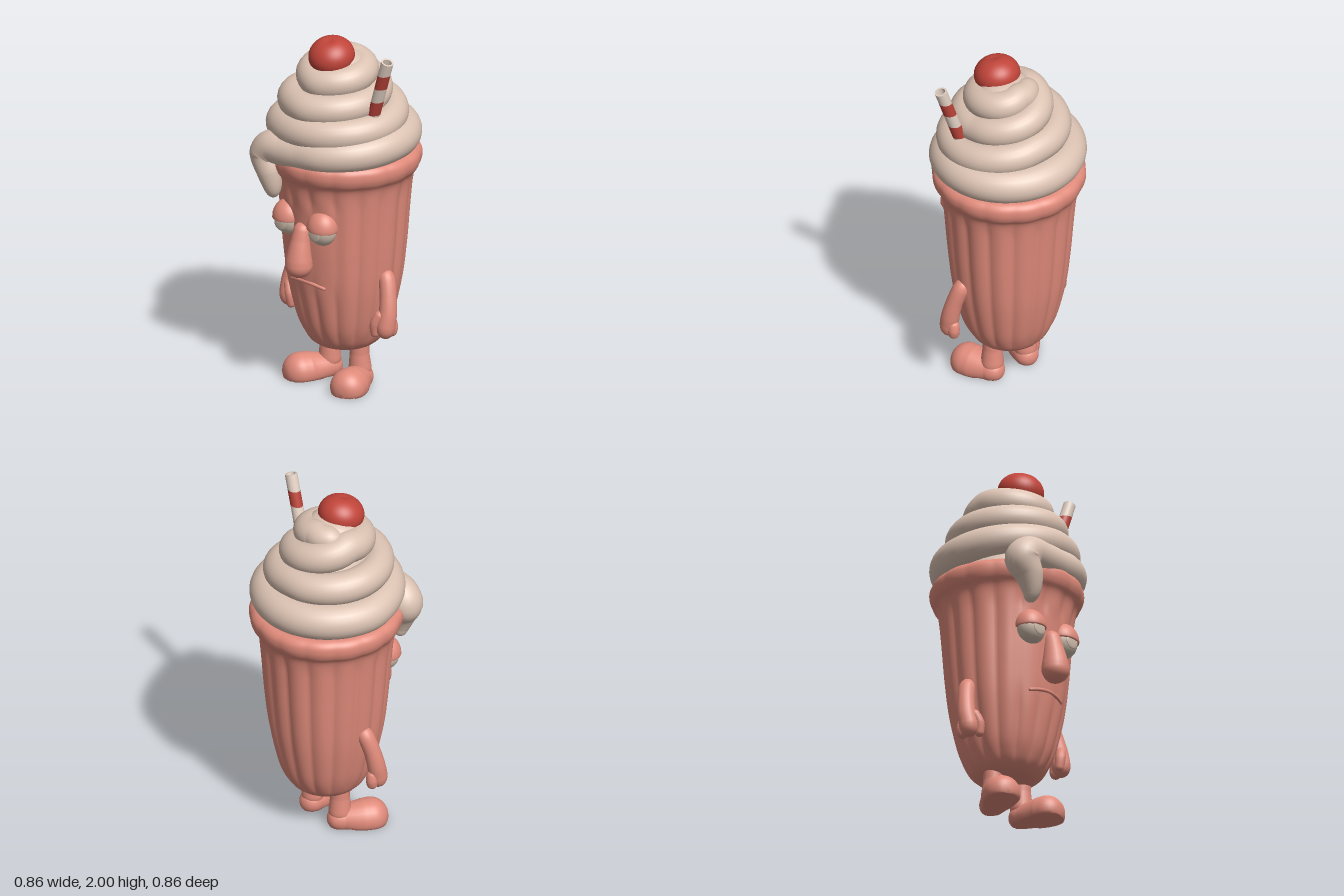
import * as THREE from 'three';
import { mergeVertices } from 'three/addons/utils/BufferGeometryUtils.js';

const mat = (name, color, side = THREE.FrontSide) => {
  const m = new THREE.MeshStandardMaterial({ color, side });
  m.name = name;
  return m;
};

const V = (x, y, z) => new THREE.Vector3(x, y, z);

// Weld a geometry and give it smooth normals
function smooth(geo) {
  geo.deleteAttribute('uv');
  geo.deleteAttribute('normal');
  const g = mergeVertices(geo, 1e-5);
  g.computeVertexNormals();
  return g;
}

// Round-ended tube through points [x, y, z, radius]
function limb(pts, segs = 48, radial = 20) {
  const curve = new THREE.CatmullRomCurve3(pts.map(p => V(p[0], p[1], p[2])));
  curve.arcLengthDivisions = 1000;
  const length = curve.getLength();
  const geo = new THREE.TubeGeometry(curve, segs, 1, radial);
  const pos = geo.attributes.position;
  const v = V(0, 0, 0);
  for (let i = 0; i <= segs; i++) {
    const u = i / segs;
    const c = curve.getPointAt(u);
    const t = curve.getUtoTmapping(u) * (pts.length - 1);
    const k = Math.min(Math.floor(t), pts.length - 2);
    let r = THREE.MathUtils.lerp(pts[k][3], pts[k + 1][3], t - k);
    const s = Math.min(u, 1 - u) * length;
    if (s < r) r *= Math.sqrt(Math.max(0, 1 - (1 - s / r) ** 2));
    for (let j = 0; j <= radial; j++) {
      const n = i * (radial + 1) + j;
      v.fromBufferAttribute(pos, n).sub(c).multiplyScalar(r).add(c);
      pos.setXYZ(n, v.x, v.y, v.z);
    }
  }
  return smooth(geo);
}

// Fluted glass with a rolled rim
function cupGeometry() {
  const outline = [[0, 0.215], [0.12, 0.215], [0.18, 0.24], [0.226, 0.3], [0.266, 0.4], [0.31, 0.6],
    [0.334, 0.8], [0.35, 1.0], [0.364, 1.15], [0.378, 1.22], [0.404, 1.26], [0.416, 1.3],
    [0.41, 1.34], [0.375, 1.365], [0.3, 1.36]];
  const profile = new THREE.SplineCurve(outline.map(p => new THREE.Vector2(...p))).getPoints(70);
  profile.forEach(p => { p.x = Math.max(p.x, 0); });
  const geo = new THREE.LatheGeometry(profile, 160, Math.PI / 16);
  const pos = geo.attributes.position;
  const { smoothstep } = THREE.MathUtils;
  for (let i = 0; i < pos.count; i++) {
    const x = pos.getX(i), y = pos.getY(i), z = pos.getZ(i);
    const a = Math.atan2(x, z);
    const face = smoothstep(y, 0.5, 0.7) * (1 - smoothstep(Math.abs(a), 0.5, 0.8)) * (1 - smoothstep(y, 1.05, 1.15));
    const depth = (0.05 - 0.038 * smoothstep(y, 1.1, 1.28)) * smoothstep(y, 0.2, 0.34) * (1 - 0.9 * face);
    const f = 1 - depth * (1 - Math.abs(Math.cos(8 * a))) - 0.015 * face;
    pos.setXYZ(i, x * f, y, z * f);
  }
  return smooth(geo);
}

// Whipped cream: a drip that climbs into a narrowing swirl
function swirlGeometry() {
  // per quarter turn from the front towards +x: outer reach, height, thickness
  const turns = [[0.415, 1.4, 0.09], [0.425, 1.44, 0.095], [0.425, 1.45, 0.1], [0.43, 1.46, 0.1],
    [0.4, 1.515, 0.092], [0.37, 1.545, 0.085], [0.335, 1.6, 0.088], [0.352, 1.625, 0.09],
    [0.357, 1.64, 0.087], [0.275, 1.67, 0.082], [0.26, 1.73, 0.086], [0.24, 1.79, 0.092],
    [0.268, 1.765, 0.086], [0.212, 1.8, 0.085], [0.165, 1.835, 0.08], [0.18, 1.835, 0.07]];
  const pts = [[-0.195, 1.1, 0.335, 0.026], [-0.19, 1.16, 0.35, 0.05], [-0.207, 1.25, 0.352, 0.076],
    [-0.24, 1.34, 0.335, 0.1], [-0.2, 1.388, 0.337, 0.095], [-0.1, 1.395, 0.335, 0.091]];
  const sub = 4;
  for (let i = 0; i <= (turns.length - 1) * sub; i++) {
    const q = i / sub, k = Math.min(Math.floor(q), turns.length - 2);
    const [reach, y, r] = turns[k].map((n, j) => THREE.MathUtils.lerp(n, turns[k + 1][j], q - k));
    const a = q * Math.PI / 2;
    pts.push([Math.sin(a) * (reach - r), y, Math.cos(a) * (reach - r), r]);
  }
  return limb(pts, 560, 24);
}

export function createModel() {
  const pink = mat('pink glass', 0xe08b7b);
  const cream = mat('cream', 0xdcc3b3);
  const red = mat('cherry red', 0xc1453a);
  const eyeWhite = mat('eye', 0xcfbdac);
  const strawCream = mat('straw cream', 0xe2d0c3, THREE.DoubleSide);
  const strawRed = mat('straw red', 0xb84338, THREE.DoubleSide);

  const model = new THREE.Group();
  const add = (name, geo, material, parent = model) => {
    const m = new THREE.Mesh(geo, material);
    m.name = name;
    parent.add(m);
    return m;
  };

  add('cup', cupGeometry(), pink).position.z = -0.015;
  add('creamSwirl', swirlGeometry(), cream);

  // Filling inside the swirl, domed on top
  const core = [[0.37, 1.34], [0.31, 1.5], [0.24, 1.65], [0.17, 1.79], [0.15, 1.85], [0.125, 1.885],
    [0.09, 1.902], [0.045, 1.91], [0, 1.912]];
  add('creamCore', new THREE.LatheGeometry(core.map(p => new THREE.Vector2(...p)), 40), cream).position.z = 0.02;

  // Cherry with a dimple on top
  const cherryGeo = new THREE.SphereGeometry(1, 40, 28);
  const cp = cherryGeo.attributes.position;
  for (let i = 0; i < cp.count; i++) {
    const y = cp.getY(i);
    if (y > 0) cp.setY(i, y - 0.12 * Math.exp(-(cp.getX(i) ** 2 + cp.getZ(i) ** 2) / 0.06));
  }
  const cherry = add('cherry', smooth(cherryGeo), red);
  cherry.scale.set(0.126, 0.104, 0.126);
  cherry.position.set(0, 1.898, 0.09);
  cherry.rotation.x = 0.25;

  // Striped straw made of slanted bands
  const straw = new THREE.Group();
  straw.name = 'straw';
  const bands = 5, h = 0.088, radius = 0.034;
  for (let k = 0; k < bands; k++) {
    const geo = new THREE.CylinderGeometry(radius, radius, h, 24, 1, true);
    geo.translate(0, (k + 0.5) * h, 0);
    const p = geo.attributes.position;
    for (let i = 0; i < p.count; i++) {
      const top = p.getY(i) > (k + 0.5) * h;
      if (!(top && k === bands - 1)) p.setY(i, p.getY(i) + p.getX(i) * 0.4);
    }
    add('strawBand', geo, k % 2 ? strawRed : strawCream, straw);
  }
  const lip = new THREE.RingGeometry(0.024, radius, 24).rotateX(-Math.PI / 2).translate(0, bands * h, 0);
  add('strawLip', lip, strawCream, straw);
  add('strawInside', new THREE.CylinderGeometry(0.024, 0.024, 0.12, 24, 1, true).translate(0, bands * h - 0.06, 0), strawCream, straw);
  const foot = V(0.255, 1.545, 0.053), tip = V(0.395, 1.96, 0.072);
  straw.position.copy(foot);
  straw.quaternion.setFromUnitVectors(V(0, 1, 0), tip.clone().sub(foot).normalize());
  model.add(straw);

  // Nose and mouth
  add('nose', limb([[0, 1.0, 0.305, 0.045], [0, 0.9, 0.33, 0.055], [0, 0.79, 0.345, 0.074],
    [0, 0.69, 0.345, 0.082]]), pink);
  const mouth = [];
  for (let i = -4; i <= 4; i++) {
    const x = i * 0.032;
    mouth.push([x, 0.65 - 1.3 * x * x, Math.sqrt(0.308 ** 2 - x * x) - 0.012, 0.01]);
  }
  add('mouth', limb(mouth, 48, 12), pink);

  for (const s of [-1, 1]) {
    const side = s > 0 ? 'left' : 'right';
    const mirror = pts => pts.map(([x, y, z, r]) => [x * s, y, z, r]);

    // Drooping eye: ball, iris bump and heavy upper lid
    const eye = new THREE.Group();
    eye.name = side + 'Eye';
    eye.position.set(s * 0.126 - 0.005, 0.982, 0.288);
    eye.rotation.z = -s * 0.05;
    add('eyeball', new THREE.SphereGeometry(1, 28, 20), eyeWhite, eye).scale.set(0.083, 0.09, 0.072);
    const iris = add('iris', new THREE.SphereGeometry(1, 20, 14), eyeWhite, eye);
    iris.scale.set(0.042, 0.042, 0.008);
    iris.position.set(0, -0.012, 0.067);
    const lidShape = [[0, 0], [0.9, 0], [0.97, 0.01]];
    for (let i = 0; i <= 12; i++) {
      const a = i / 12 * Math.PI / 2;
      lidShape.push([Math.cos(a), 0.05 + 0.95 * Math.sin(a)]);
    }
    const lid = add('eyelid', new THREE.LatheGeometry(lidShape.map(p => new THREE.Vector2(Math.max(0, p[0]), p[1])), 32), pink, eye);
    lid.scale.set(0.09, 0.108, 0.085);
    model.add(eye);

    // Arm with a mitten hand, thumb and fingers
    add(side + 'Arm', limb(mirror([[0.285, 0.71, -0.012, 0.037], [0.318, 0.66, -0.005, 0.046], [0.347, 0.57, 0.015, 0.046],
      [0.36, 0.48, 0.032, 0.05], [0.358, 0.41, 0.045, 0.052], [0.355, 0.345, 0.045, 0.043]])), pink);
    add(side + 'Thumb', limb(mirror([[0.345, 0.5, 0.06, 0.028], [0.315, 0.43, 0.082, 0.029],
      [0.308, 0.35, 0.076, 0.023]]), 32, 14), pink);
    add(side + 'Fingers', limb(mirror([[0.355, 0.46, 0.01, 0.03], [0.362, 0.4, 0, 0.033],
      [0.356, 0.348, 0.008, 0.028]]), 32, 14), pink);

    // Leg and flat-soled foot, the right one turned out further
    add(side + 'Leg', limb(mirror([[0.11, 0.29, -0.012, 0.053], [0.11, 0.18, -0.012, 0.053],
      [0.112, 0.1, -0.014, 0.062], [0.114, 0.03, -0.016, 0.065]])), pink);
    const splay = s < 0 ? 0.045 : 0.005;
    const shoe = limb(mirror([[0.105, 0.045, -0.088, 0.06], [0.118, 0.042, -0.01, 0.07],
      [0.148 + splay / 2, 0.036, 0.09, 0.098], [0.185 + splay, 0.034, 0.222, 0.105]]), 56, 28);
    const p = shoe.attributes.position;
    for (let i = 0; i < p.count; i++) p.setY(i, Math.max(0, p.getY(i)));
    shoe.computeVertexNormals();
    add(side + 'Foot', shoe, pink);
  }
  return model;
}
